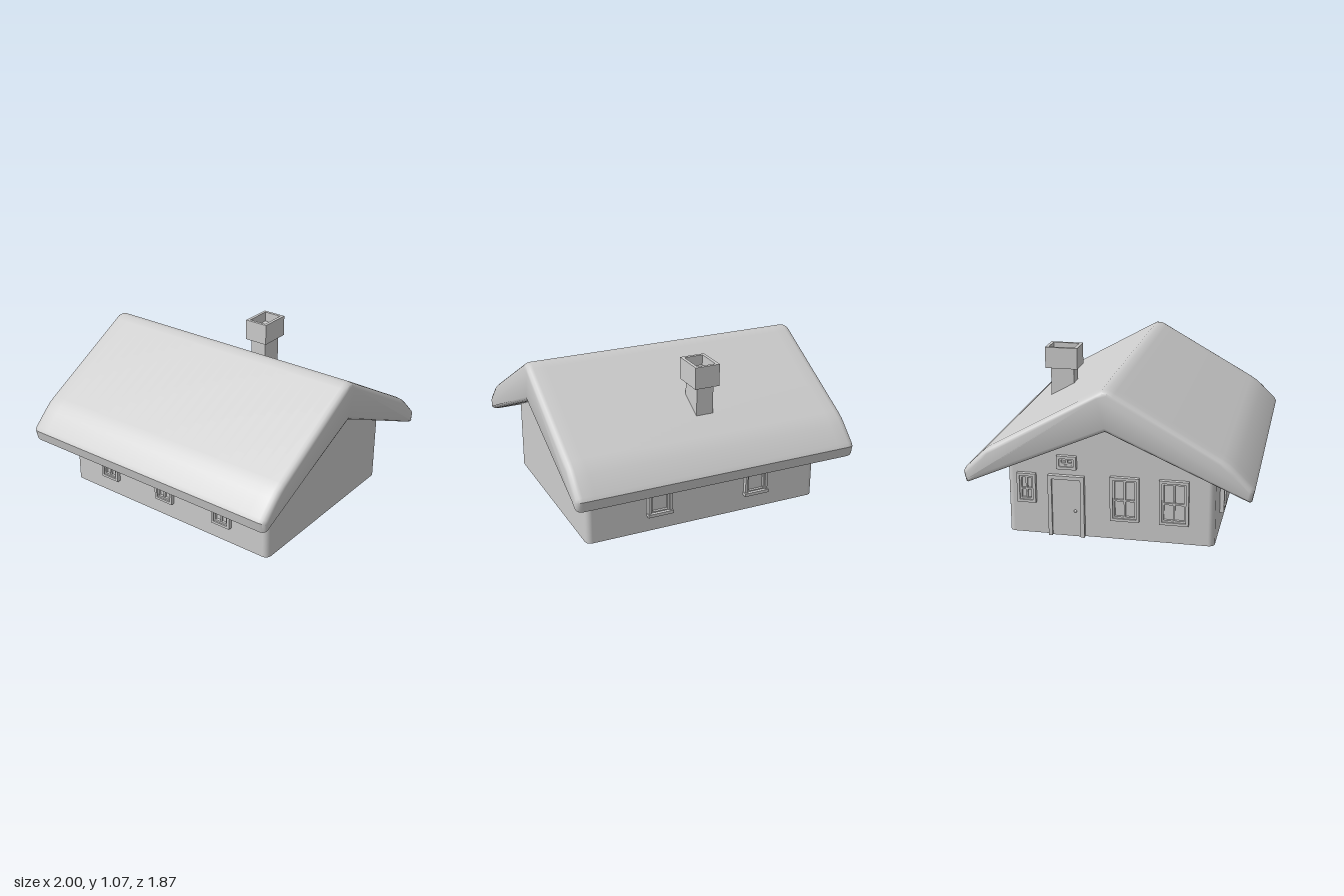
import * as THREE from 'three';
import { toCreasedNormals } from 'three/addons/utils/BufferGeometryUtils.js';

const material = new THREE.MeshStandardMaterial({ color: 0xcccccc });
const sheet = new THREE.MeshStandardMaterial({ color: 0xcccccc, side: THREE.DoubleSide });

const HX = 0.85, HZ = 0.68; // half size of the walls

function add(parent, name, geometry, x = 0, y = 0, z = 0, mat = material) {
  const mesh = new THREE.Mesh(geometry, mat);
  mesh.name = name;
  mesh.position.set(x, y, z);
  parent.add(mesh);
  return mesh;
}

const box = (parent, name, w, h, d, x, y, z) =>
  add(parent, name, new THREE.BoxGeometry(w, h, d), x, y, z);

// Rectangular ring centred on the origin, extruded along z from z0
function ring(w, h, border, z0, depth) {
  const rect = (Type, a, b) => new Type([
    new THREE.Vector2(-a, -b), new THREE.Vector2(a, -b),
    new THREE.Vector2(a, b), new THREE.Vector2(-a, b)]);
  const shape = rect(THREE.Shape, w / 2, h / 2);
  shape.holes.push(rect(THREE.Path, w / 2 - border, h / 2 - border));
  return new THREE.ExtrudeGeometry(shape, { depth, bevelEnabled: false }).translate(0, 0, z0);
}

// Wall band with rounded corners, its top following the gable slope
function wallGeometry() {
  const r = 0.04, steps = 5, outline = [];
  const corners = [[1, 1, 0], [-1, 1, 1], [-1, -1, 2], [1, -1, 3]];
  for (const [sx, sz, quarter] of corners) {
    if (quarter === 2) outline.push([-HX, 0, Math.PI]);
    for (let i = 0; i <= steps; i++) {
      const a = (quarter + i / steps) * Math.PI / 2;
      outline.push([sx * (HX - r) + r * Math.cos(a), sz * (HZ - r) + r * Math.sin(a), a]);
    }
  }
  outline.push([HX, 0, 0]);
  outline.push(outline[0]);
  const pos = [], nor = [], index = [];
  outline.forEach(([x, z, a], i) => {
    const top = 0.78 - 0.44 * Math.abs(z);
    pos.push(x, 0, z, x, top, z);
    for (let k = 0; k < 2; k++) nor.push(Math.cos(a), 0, Math.sin(a));
    if (i) {
      const p = 2 * (i - 1), q = 2 * i;
      index.push(p, p + 1, q, p + 1, q + 1, q);
    }
  });
  const g = new THREE.BufferGeometry();
  g.setAttribute('position', new THREE.Float32BufferAttribute(pos, 3));
  g.setAttribute('normal', new THREE.Float32BufferAttribute(nor, 3));
  g.setIndex(index);
  return g;
}

// Thick roof: half profile mirrored about the ridge, with softly rounded ends
function roofGeometry() {
  const outer = [[0.02, 1.038], [0.06, 1.016], [0.73, 0.64], [0.78, 0.608],
    [0.82, 0.572], [0.92, 0.475], [0.935, 0.45], [0.92, 0.378], [0.905, 0.372]];
  const right = outer.map(([x, y]) => new THREE.Vector2(x, y));
  const left = outer.map(([x, y]) => new THREE.Vector2(-x, y)).reverse();
  const shape = new THREE.Shape([...right, new THREE.Vector2(0, 0.77), ...left]);
  const thick = 0.045, size = 0.03, depth = 2 - 2 * thick;
  const g = new THREE.ExtrudeGeometry(shape, {
    depth, steps: 24, bevelThickness: thick, bevelSize: size, bevelOffset: -size, bevelSegments: 3,
  });
  g.translate(0, 0, -depth / 2).rotateY(Math.PI / 2);
  return toCreasedNormals(g, 0.65);
}

// Window facing +z with its wall plane at z = 0
function makeWindow(name, w, h, { cross = true, sill = false } = {}) {
  const g = new THREE.Group();
  g.name = name;
  add(g, 'windowFrame', ring(w, h, 0.018, -0.012, 0.04));
  add(g, 'windowSash', ring(w - 0.036, h - 0.036, 0.012, -0.01, 0.028));
  if (cross) {
    box(g, 'verticalBar', 0.012, h - 0.04, 0.024, 0, 0, 0.002);
    box(g, 'horizontalBar', w - 0.04, 0.012, 0.024, 0, -0.01, 0.002);
  } else {
    box(g, 'meetingRail', w - 0.04, 0.016, 0.024, 0, 0.07, 0.002);
  }
  if (sill) box(g, 'windowSill', w + 0.01, 0.022, 0.05, 0, -h / 2 + 0.011, 0.015);
  return g;
}

function makeDoor() {
  const g = new THREE.Group();
  g.name = 'door';
  const w = 0.24, h = 0.42, post = 0.025;
  for (const s of [-1, 1]) box(g, 'doorPost', post, h, 0.042, s * (w - post) / 2, h / 2, 0.009);
  box(g, 'doorLintel', w, post, 0.042, 0, h - post / 2, 0.009);
  box(g, 'doorPanel', w - 2 * post, h - post, 0.018, 0, (h - post) / 2, 0.003);
  add(g, 'doorKnob', new THREE.SphereGeometry(0.01, 12, 8), 0.06, 0.18, 0.02);
  return g;
}

function makeChimney() {
  const g = new THREE.Group();
  g.name = 'chimney';
  box(g, 'chimneyStack', 0.12, 0.37, 0.165, 0, 0.815, 0);
  box(g, 'chimneyCapBase', 0.175, 0.08, 0.23, 0, 0.96, 0);
  const rim = ring(0.175, 0.23, 0.022, 0, 0.07).rotateX(-Math.PI / 2);
  add(g, 'chimneyCapRim', rim, 0, 1.0, 0);
  g.position.set(-0.035, 0, -0.505);
  return g;
}

export function createModel() {
  const house = new THREE.Group();
  house.name = 'house';
  add(house, 'walls', wallGeometry(), 0, 0, 0, sheet);
  add(house, 'roof', roofGeometry());
  house.add(makeChimney());

  const place = (part, x, y, z, turn) => {
    part.position.set(x, y, z);
    part.rotation.y = turn;
    house.add(part);
  };

  // Front windows
  for (const x of [-0.5, -0.005, 0.485])
    place(makeWindow('frontWindow', 0.148, 0.29), x, 0.265, HZ, 0);

  // Back windows with sills
  for (const x of [0.34, -0.38])
    place(makeWindow('backWindow', 0.17, 0.31, { cross: false, sill: true }), x, 0.27, -HZ, Math.PI);

  // Gable with the door: two large windows, a small one and a light over the door
  const turn = -Math.PI / 2;
  for (const z of [0.1, 0.42])
    place(makeWindow('gableWindow', 0.19, 0.3), -HX, 0.285, z, turn);
  place(makeWindow('smallGableWindow', 0.125, 0.2), -HX, 0.32, -0.55, turn);
  place(makeWindow('doorLight', 0.13, 0.09), -HX, 0.51, -0.28, turn);
  place(makeDoor(), -HX, 0, -0.285, turn);
  return house;
}
